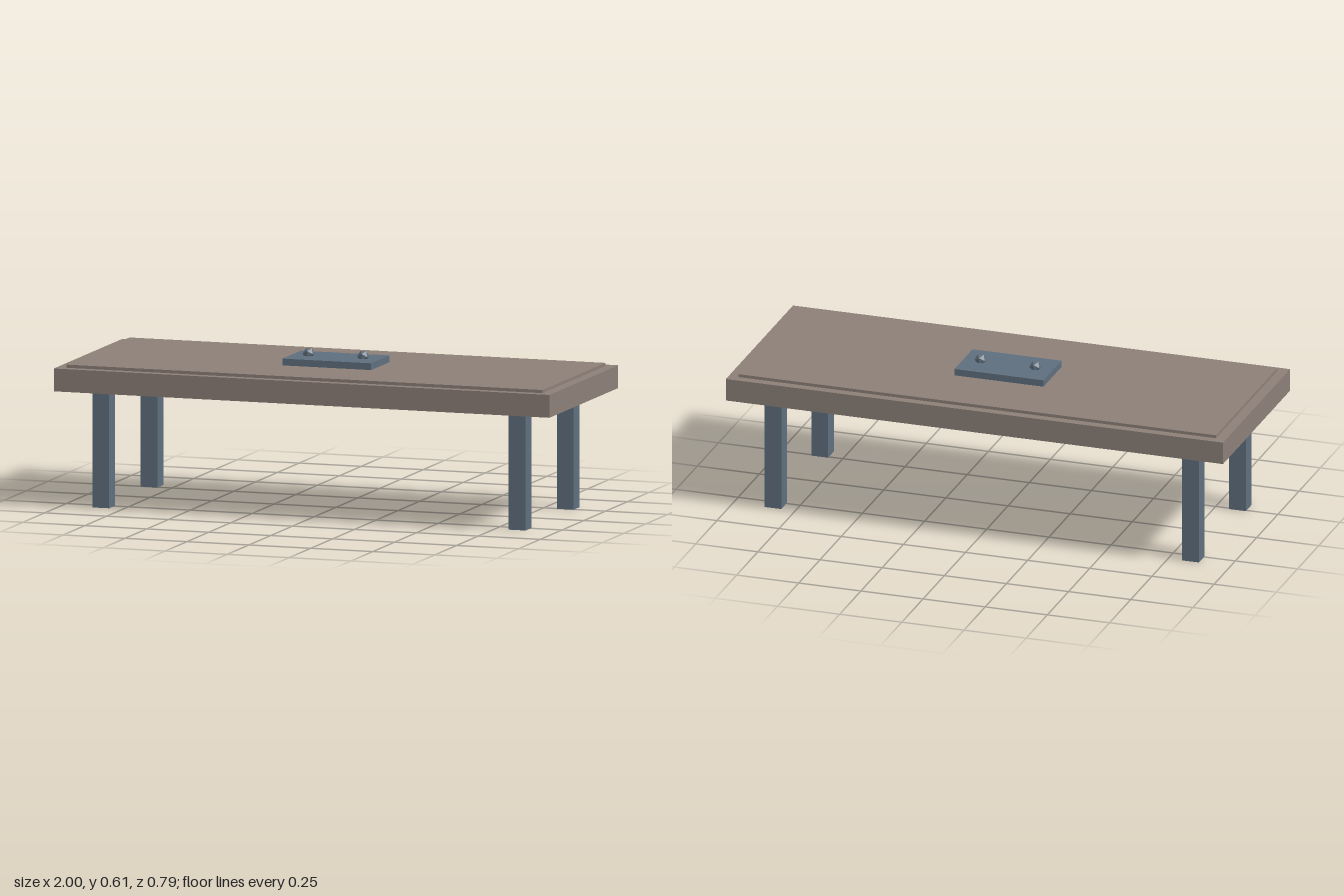
import * as THREE from 'three';

export function createModel() {
  const model = new THREE.Group();
  model.name = 'lowTable';
  const wood = new THREE.MeshStandardMaterial({ name: 'greyBrownWood', color: 0x8d8078 });
  const metal = new THREE.MeshStandardMaterial({ name: 'slateMetal', color: 0x5f6f7e });
  // facets of the bolts stay crisp: polyhedra at detail 0 have flat normals

  const add = (name, geometry, material, x, y, z) => {
    const mesh = new THREE.Mesh(geometry, material);
    mesh.name = name;
    mesh.position.set(x, y, z);
    model.add(mesh);
  };
  // Box given by its bottom and top heights
  const slab = (name, material, w, d, y0, y1, x = 0, z = 0) =>
    add(name, new THREE.BoxGeometry(w, y1 - y0, d), material, x, (y0 + y1) / 2, z);

  // Table top with a slightly raised inner panel
  slab('tableTop', wood, 2, 0.79, 0.453, 0.541);
  slab('raisedPanel', wood, 1.92, 0.722, 0.541, 0.553);

  // Four square legs
  for (const x of [-0.84, 0.84])
    for (const z of [-0.276, 0.276]) slab('leg', metal, 0.068, 0.068, 0, 0.453, x, z);

  // Centre plate with two faceted bolts
  slab('centrePlate', metal, 0.358, 0.212, 0.553, 0.579);
  for (const x of [-0.11, 0.11])
    add('bolt', new THREE.IcosahedronGeometry(0.0235, 0), metal, x, 0.587, 0);

  return model;
}
